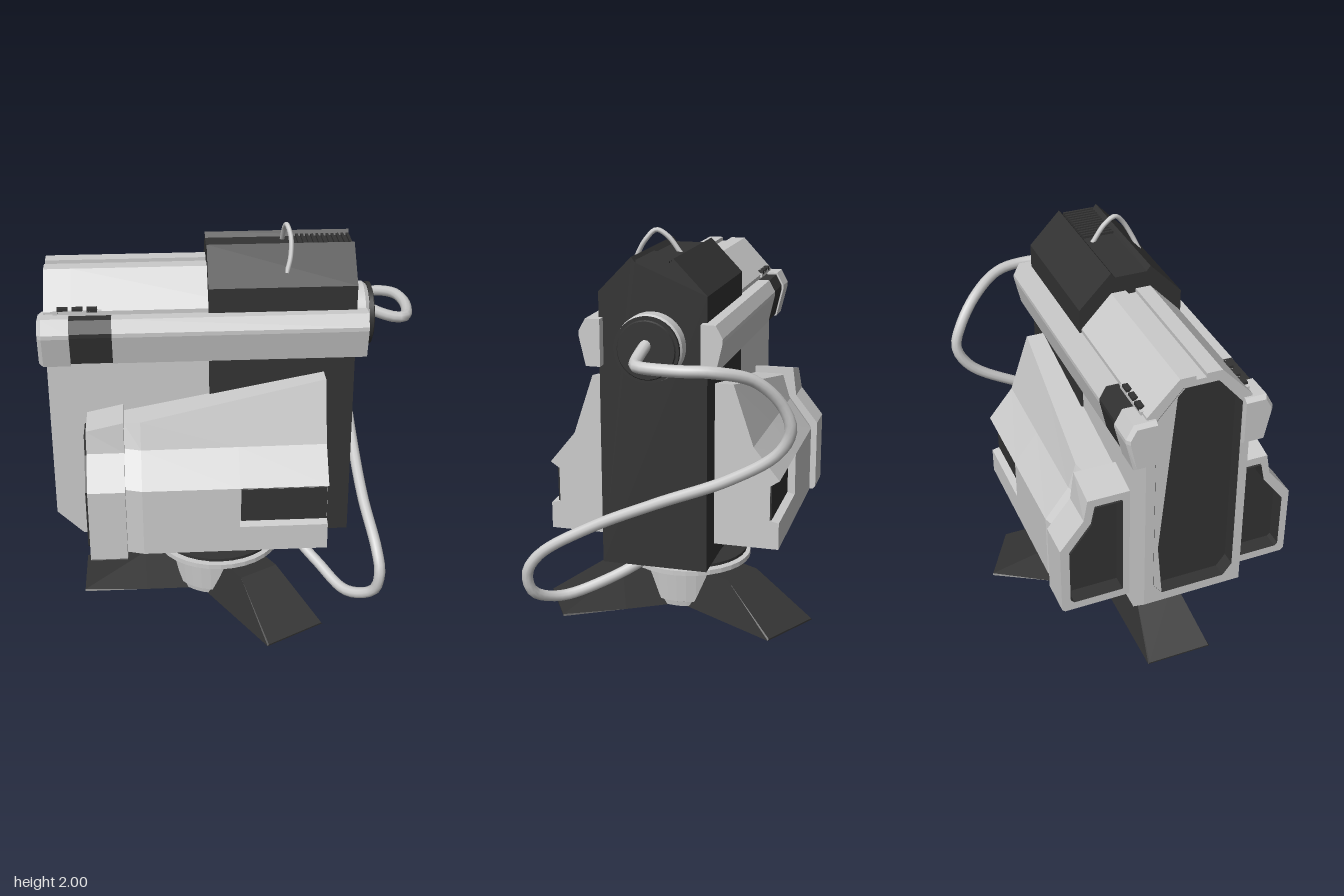
import * as THREE from 'three';

const light = new THREE.MeshStandardMaterial({ color: 0xcccccc, flatShading: true, side: THREE.DoubleSide });
const dark = new THREE.MeshStandardMaterial({ color: 0x333333, flatShading: true, side: THREE.DoubleSide });
const smooth = new THREE.MeshStandardMaterial({ color: 0xcccccc });
const darkSmooth = new THREE.MeshStandardMaterial({ color: 0x333333 });

// Joins [x, [[z, y], ...]] cross-sections (counter-clockwise with z right, y up) along x
function loft(sections, capStart = true, capEnd = true) {
  const n = sections[0][1].length, pos = [], idx = [];
  for (const [x, pts] of sections) for (const [z, y] of pts) pos.push(x, y, z);
  for (let s = 0; s < sections.length - 1; s++) {
    for (let i = 0; i < n; i++) {
      const a = s * n + i, b = s * n + (i + 1) % n;
      idx.push(a, a + n, b, b, a + n, b + n);
    }
  }
  const cap = (s, flip) => {
    const contour = sections[s][1].map(p => new THREE.Vector2(p[0], p[1]));
    for (const [a, b, c] of THREE.ShapeUtils.triangulateShape(contour, [])) {
      idx.push(...(flip ? [a, c, b] : [a, b, c]).map(i => i + s * n));
    }
  };
  if (capStart) cap(0, false);
  if (capEnd) cap(sections.length - 1, true);
  const indexed = new THREE.BufferGeometry();
  indexed.setAttribute('position', new THREE.Float32BufferAttribute(pos, 3));
  indexed.setIndex(idx);
  const g = indexed.toNonIndexed();
  g.computeVertexNormals();
  return g;
}

// Mirrors a section to the other side, keeping its winding
const side = (pts, s) => s > 0 ? pts : pts.map(([z, y]) => [-z, y]).reverse();
// Completes a half outline (bottom to top, z > 0) across z = 0
const symmetric = half => [...half, ...half.map(([z, y]) => [-z, y]).reverse()];

function add(parent, name, geometry, material, position = [0, 0, 0]) {
  const m = new THREE.Mesh(geometry, material);
  m.name = name;
  m.position.set(...position);
  parent.add(m);
  return m;
}

const box = (w, h, d) => new THREE.BoxGeometry(w, h, d);

function buildBody(root) {
  // Light forward housing with a framed dark opening
  const outer = bottom => symmetric([[0.25, bottom], [0.25, 1.64], [0.1, 1.8], [0.025, 1.8], [0.025, 1.78]]);
  const inner = symmetric([[0.16, 0.6], [0.205, 0.66], [0.205, 1.61], [0.085, 1.75], [0.025, 1.75]]);
  add(root, 'forwardHousing', loft([
    [-0.91, inner], [-0.91, outer(0.55)], [-0.78, outer(0.42)], [0.1, outer(0.42)],
  ], false), light);
  add(root, 'forwardOpening', loft([[-0.84, inner], [-0.912, inner].slice()].map((s, i) => [i ? -0.912 : -0.84, s[1]]), true, false), dark);

  // Dark rear housing with a vented roof channel
  const rear = symmetric([[0.26, 0.4], [0.26, 1.74], [0.1, 1.905], [0.08, 1.88]]);
  add(root, 'rearHousing', loft([[-0.13, rear], [0.58, rear]]), dark);
  for (let i = 0; i < 12; i++) {
    add(root, 'ventSlat', box(0.013, 0.014, 0.16), dark, [0.295 + i * 0.025, 1.885, 0]);
  }
}

function podSection(x, notched) {
  const t = (x + 0.47) / 0.9, mix = (a, b) => a + (b - a) * t;
  const z = notched ? 0.535 : 0.58;
  return [[0.25, 0.49], [0.58, 0.49], [0.58, 0.625], [z, 0.635], [z, 0.81], [0.58, 0.84],
    [mix(0.46, 0.45), 1.0], [mix(0.42, 0.35), mix(1.13, 1.3)], [0.25, mix(1.13, 1.3)]];
}

function buildPod(root, s) {
  const pod = new THREE.Group();
  pod.name = s > 0 ? 'leftPod' : 'rightPod';
  root.add(pod);

  // Tapering shell, stepped in for the rear window
  const neck = podSection(-0.47, false).map(([z, y]) => [z > 0.3 ? z - 0.025 : z, y > 1.1 ? y - 0.015 : y]);
  add(pod, 'podShell', loft([
    [-0.55, neck], [-0.47, podSection(-0.47, false)], [0, podSection(0, false)],
    [0, podSection(0, true)], [0.43, podSection(0.43, true)],
  ].map(([x, p]) => [x, side(p, s)])), light);
  add(pod, 'podWindow', box(0.42, 0.172, 0.01), dark, [0.218, 0.723, s * 0.538]);

  // Front collar with a dark intake
  const collar = top => side([[0.25, 0.465], [0.585, 0.465], [0.6, 0.48], [0.6, 0.85], [0.48, 1.0], [0.46, top], [0.25, top]], s);
  const mouth = side([[0.29, 0.52], [0.54, 0.52], [0.555, 0.535], [0.555, 0.83], [0.445, 0.975], [0.425, 1.07], [0.29, 1.07]], s);
  add(pod, 'podCollar', loft([[-0.73, mouth], [-0.73, collar(1.11)], [-0.55, collar(1.15)]], false), light);
  add(pod, 'podIntake', loft([[-0.66, mouth], [-0.742, mouth]], true, false), dark);
}

function buildRail(root, s) {
  const rail = new THREE.Group();
  rail.name = s > 0 ? 'leftRail' : 'rightRail';
  root.add(rail);
  const section = (grow, innerZ = 0.24) => side([[innerZ, 1.395 - grow], [0.31 + grow / 2, 1.395 - grow],
    [0.343 + grow, 1.54], [0.343 + grow, 1.56], [0.31 + grow / 2, 1.62 + grow], [innerZ, 1.62 + grow]], s);
  add(rail, 'railBar', loft([[-0.59, section(0)], [0.63, section(0)]]), light);
  add(rail, 'railBand', loft([[-0.79, section(-0.002)], [-0.59, section(-0.002)]]), dark);
  add(rail, 'railCap', loft([[-0.94, section(-0.008, 0.21)], [-0.92, section(0.008, 0.21)], [-0.79, section(0.008, 0.21)]]), light);

  // Small clip strip on top of the rail
  add(rail, 'clipPlate', box(0.23, 0.02, 0.03), light, [-0.75, 1.635, s * 0.245]);
  for (let i = 0; i < 3; i++) {
    add(rail, 'clipTooth', box(0.05, 0.02, 0.03), dark, [-0.82 + i * 0.07, 1.648, s * 0.245]);
  }
}

function buildBase(root) {
  const base = new THREE.Group();
  base.name = 'base';
  base.position.x = -0.08;
  root.add(base);
  const turned = (name, material, profile) =>
    add(base, name, new THREE.LatheGeometry(profile.map(p => new THREE.Vector2(...p)), 32), material);

  // Hub, turntable rings and neck
  turned('hub', light, [[0, 0.003], [0.24, 0.003], [0.245, 0.03], [0.255, 0.035], [0.27, 0.2], [0, 0.2]]);
  turned('turntable', light, [[0, 0.2], [0.28, 0.2], [0.33, 0.215], [0.33, 0.24], [0, 0.24]]);
  turned('turntablePlate', dark, [[0, 0.25], [0.31, 0.25], [0.31, 0.265], [0, 0.265]]);
  turned('turntableCore', light, [[0.25, 0.235], [0.25, 0.255]]);
  turned('neckSeal', dark, [[0.19, 0.262], [0.19, 0.29], [0.175, 0.295], [0.175, 0.31], [0.185, 0.315], [0.185, 0.35], [0, 0.35]]);
  turned('neck', light, [[0, 0.35], [0.19, 0.35], [0.215, 0.42], [0, 0.42]]);

  // Three splayed feet
  const foot = (w, top, h) => [[-w, 0], [w, 0], [top, h], [-top, h]];
  const legGeometry = loft([[0.1, foot(0.172, 0.11, 0.2)], [0.39, foot(0.172, 0.11, 0.2)], [0.72, foot(0.172, 0.165, 0.008)]]);
  for (let i = 0; i < 3; i++) {
    add(base, 'foot', legGeometry, dark).rotation.y = Math.PI + i * Math.PI * 2 / 3;
  }
}

function tube(points, radius, steps, sides) {
  const curve = new THREE.CatmullRomCurve3(points.map(p => new THREE.Vector3(...p)), false, 'centripetal');
  return new THREE.TubeGeometry(curve, steps, radius, sides);
}

export function createModel() {
  const root = new THREE.Group();
  root.name = 'turret';
  buildBody(root);
  for (const s of [1, -1]) {
    buildPod(root, s);
    buildRail(root, s);
  }
  buildBase(root);

  // Round cable socket on the rear face
  const disc = (name, material, r0, r1, x0, x1) =>
    add(root, name, new THREE.CylinderGeometry(r1, r0, x1 - x0, 32), material, [(x0 + x1) / 2, 1.5, 0]).rotation.z = -Math.PI / 2;
  disc('socketCollar', smooth, 0.16, 0.16, 0.57, 0.645);
  disc('socketBevel', smooth, 0.16, 0.145, 0.645, 0.665);
  disc('socketFace', darkSmooth, 0.155, 0.155, 0.665, 0.685);
  disc('socketRim', darkSmooth, 0.14, 0.135, 0.685, 0.692);

  // Cable looping from the socket down to the neck
  add(root, 'cable', tube([
    [0.67, 1.53, 0], [0.74, 1.5, 0.01], [0.82, 1.475, 0.01], [0.87, 1.47, -0.01], [0.905, 1.47, -0.2], [0.87, 1.465, -0.36],
    [0.76, 1.41, -0.52], [0.69, 1.29, -0.63], [0.67, 1.17, -0.67], [0.655, 1.05, -0.61], [0.645, 0.9, -0.38],
    [0.64, 0.75, -0.03], [0.65, 0.6, 0.3], [0.685, 0.45, 0.55], [0.695, 0.35, 0.615], [0.67, 0.24, 0.6],
    [0.55, 0.175, 0.5], [0.42, 0.23, 0.3], [0.28, 0.32, 0.12], [0.13, 0.4, 0.02],
  ], 0.028, 100, 10), smooth);

  // Thin wire handle on the roof
  add(root, 'roofWire', tube([
    [0.245, 1.79, 0.2], [0.265, 1.86, 0.17], [0.27, 1.94, 0.125], [0.256, 1.988, 0.075], [0.25, 1.96, 0.02], [0.245, 1.87, -0.05],
  ], 0.012, 32, 8), smooth);
  return root;
}
